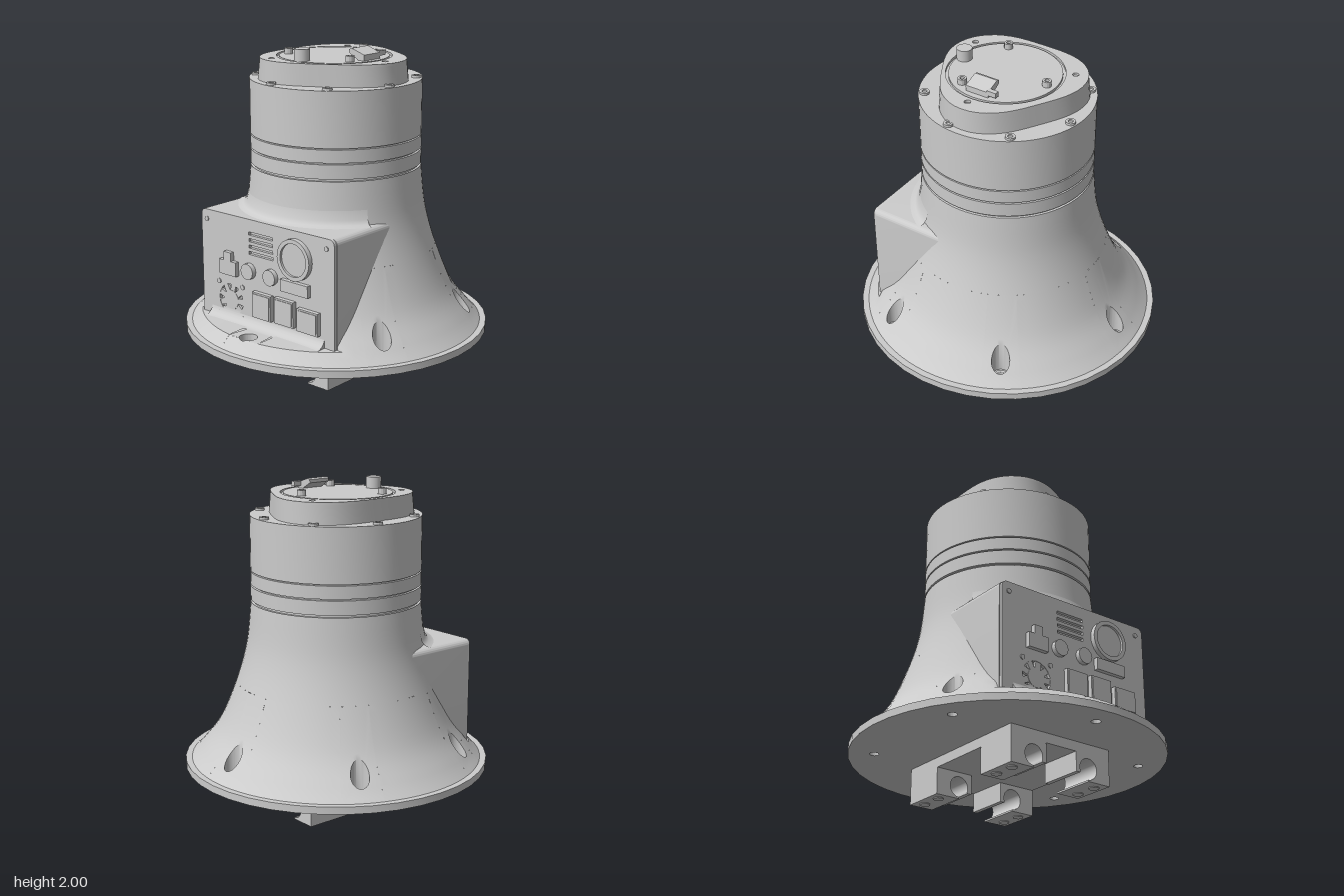
import * as THREE from 'three';
import { mergeGeometries, toCreasedNormals } from 'three/addons/utils/BufferGeometryUtils.js';
import { ParametricGeometry } from 'three/addons/geometries/ParametricGeometry.js';

const mat = new THREE.MeshStandardMaterial({ color: 0xcccccc });
const thin = new THREE.MeshStandardMaterial({ color: 0xcccccc, side: THREE.DoubleSide });
const HOLE_R = 0.795, POCKET = 0.055, INNER = 0.62, OUTER = 0.91, FLOOR = 0.27;
const LEDGE = 0.345, GAP = 0.14, SIXTH = Math.PI / 3;

// Flare profile, with lookups both ways
const profile = new THREE.SplineCurve([[OUTER, 0.275], [0.845, 0.345], [0.73, 0.5], [0.625, 0.75], [0.555, 1.0], [0.525, 1.27]]
  .map(p => new THREE.Vector2(...p))).getPoints(100);
function lookup(value, from, to) {
  let i = 1;
  while (i < 100 && (profile[i][from] - value) * (profile[100][from] - profile[0][from]) < 0) i++;
  const a = profile[i - 1], b = profile[i];
  return THREE.MathUtils.lerp(a[to], b[to], (value - a[from]) / (b[from] - a[from]));
}
const heightAt = r => lookup(r, 'x', 'y');
const radiusAt = y => lookup(y, 'y', 'x');

const circle = (x, y, r) => new THREE.Path().absarc(x, y, r, 0, Math.PI * 2, true);
const disc = r => new THREE.Shape().absarc(0, 0, r, 0, Math.PI * 2, false);
const extrude = (shape, depth, curveSegments = 10) =>
  toCreasedNormals(new THREE.ExtrudeGeometry(shape, { depth, bevelEnabled: false, curveSegments }), 0.5);
const plan = (shape, depth, seg) => extrude(shape, depth, seg).rotateX(-Math.PI / 2);
const lathe = (pts, seg, start, len) => new THREE.LatheGeometry(pts.map(p => new THREE.Vector2(...p)), seg, start, len);
const box = (w, h, d) => new THREE.BoxGeometry(w, h, d);

function rect(x0, y0, x1, y1, type = THREE.Path) {
  const s = new type();
  s.moveTo(x0, y0); s.lineTo(x1, y0); s.lineTo(x1, y1); s.lineTo(x0, y1); s.closePath();
  return s;
}

function add(parent, name, geometry, x = 0, y = 0, z = 0, material = mat) {
  const m = new THREE.Mesh(geometry, material);
  m.name = name;
  m.position.set(x, y, z);
  parent.add(m);
  return m;
}

// Flare skin around one bolt pocket, running on down the pocket wall
function pocketPatch(k) {
  return new ParametricGeometry((u, v, out) => {
    const t = -u * Math.PI * 2, c = Math.cos(t), s = Math.sin(t), m = Math.max(Math.abs(c), Math.abs(s));
    const f = Math.min(1, v * 9 / 8);
    const a = THREE.MathUtils.lerp(GAP * c / m, POCKET * c / HOLE_R, f);
    const r = HOLE_R + THREE.MathUtils.lerp((s > 0 ? OUTER - HOLE_R : HOLE_R - INNER) * s / m, POCKET * s, f);
    let y = k === 0 ? Math.min(heightAt(r), LEDGE) : heightAt(r);
    if (v > 0.95) y = FLOOR;
    out.set(r * Math.sin(a + k * SIXTH), y, r * Math.cos(a + k * SIXTH));
  }, 48, 9);
}

function flareGeometry() {
  const top = heightAt(INNER), ys = [0.275, 0.31, LEDGE, LEDGE + 0.005], parts = [];
  for (let i = 1; i <= 10; i++) ys.push(THREE.MathUtils.lerp(LEDGE + 0.005, top, i / 10));
  for (let k = 0; k < 6; k++) {
    const g = lathe(ys.map(y => [radiusAt(y), y]), 10, k * SIXTH + GAP, SIXTH - 2 * GAP);
    // Cut the front flat behind the control panel
    const p = g.attributes.position;
    for (let i = 0; i < p.count; i++) if (p.getY(i) > LEDGE + 0.002) p.setZ(i, Math.min(p.getZ(i), 0.62));
    parts.push(g, pocketPatch(k));
  }
  const upper = [];
  for (let i = 0; i <= 12; i++) {
    const y = THREE.MathUtils.lerp(top, 1.27, i / 12);
    upper.push([radiusAt(y), y]);
  }
  parts.push(lathe(upper, 72));
  return toCreasedNormals(mergeGeometries(parts), 0.6);
}

function addScrew(parent, x, y, z, r, h, sides = 12) {
  const s = disc(r);
  s.holes.push(circle(0, 0, r * 0.5));
  add(parent, 'screwHead', plan(s, h, sides / 2), x, y, z);
  add(parent, 'screwSocket', new THREE.CylinderGeometry(r * 0.6, r * 0.6, h * 0.3, 6), x, y + h * 0.15, z);
}

function controlBox(group) {
  const g = new THREE.Group();
  g.name = 'controlBox';
  group.add(g);
  // Housing with rounded top corners
  const outline = w => {
    const s = new THREE.Shape(), t = 1.01, r = 0.035;
    s.moveTo(-w, LEDGE); s.lineTo(w, LEDGE); s.lineTo(w, t - r);
    s.absarc(w - r, t - r, r, 0, Math.PI / 2, false);
    s.absarc(-w + r, t - r, r, Math.PI / 2, Math.PI, false);
    s.closePath();
    return s;
  };
  add(g, 'housing', extrude(outline(0.54), 0.52), 0, 0, 0.1);
  // Panel with vent slots and fan opening
  const panel = outline(0.535);
  for (const y of [0.923, 0.882, 0.842, 0.802]) panel.holes.push(rect(-0.135, y - 0.01, 0.06, y + 0.01));
  const fx = -0.293, fy = 0.47;
  panel.holes.push(circle(fx, fy, 0.1));
  add(g, 'panel', extrude(panel, 0.02), 0, 0, 0.62);
  // Fan
  const knob = (r, h, sides = 24) => new THREE.CylinderGeometry(r, r, h, sides).rotateX(Math.PI / 2);
  add(g, 'fanHub', knob(0.06, 0.02), fx, fy, 0.63);
  for (let i = 0; i < 9; i++) {
    const a = i * Math.PI * 2 / 9;
    add(g, 'fanBlade', box(0.042, 0.038, 0.016), fx + 0.078 * Math.cos(a), fy + 0.078 * Math.sin(a), 0.63).rotation.z = a;
  }
  const screws = [[-0.488, 0.95], [0.478, 0.95]];
  for (const dx of [-0.1, 0.1]) for (const dy of [-0.1, 0.1]) screws.push([fx + dx, fy + dy]);
  for (const [x, y] of screws) add(g, 'panelScrew', knob(0.016, 0.01, 8), x, y, 0.641);
  // Sockets, displays and switch: x0, y0, x1, y1
  for (const [x0, y0, x1, y1, name] of [
    [-0.365, 0.635, -0.225, 0.725, 'switchBase'], [-0.325, 0.725, -0.265, 0.78, 'switchTab'],
    [0.14, 0.632, 0.355, 0.705, 'display'], [-0.09, 0.415, 0.06, 0.575, 'socket'],
    [0.09, 0.42, 0.24, 0.58, 'socket'], [0.27, 0.415, 0.43, 0.555, 'socket']]) {
    add(g, name, box(x1 - x0, y1 - y0, 0.04), (x0 + x1) / 2, (y0 + y1) / 2, 0.648);
    if (name === 'socket') add(g, 'socketCover', box(x1 - x0 - 0.02, y1 - y0 - 0.02, 0.04), (x0 + x1) / 2, (y0 + y1) / 2, 0.652);
  }
  for (const x of [-0.13, 0.05]) add(g, 'button', knob(0.05, 0.04, 12), x, 0.69, 0.65);
  const bezel = disc(0.125);
  bezel.holes.push(circle(0, 0, 0.1));
  add(g, 'dialBezel', extrude(bezel, 0.035, 16), 0.245, 0.84, 0.635);
  add(g, 'dialFace', knob(0.1, 0.03, 32), 0.245, 0.84, 0.64);
  // Fillets at the foot of the panel and round the neck
  const fillet = new THREE.Shape();
  fillet.moveTo(0, 0); fillet.lineTo(-0.07, 0);
  fillet.absarc(-0.07, 0.07, 0.07, -Math.PI / 2, 0, false);
  fillet.closePath();
  add(g, 'footFillet', extrude(fillet, 0.92).rotateY(Math.PI / 2), -0.46, LEDGE, 0.638);
  add(g, 'neckFillet', lathe([[0.61, 1.009], [0.575, 1.02], [0.555, 1.045], [0.542, 1.1]], 24, -1.05, 2.1), 0, 0, 0, thin);
}

function topCap(group) {
  const g = new THREE.Group();
  g.name = 'topCap';
  group.add(g);
  // Rounded triangular cap
  const tri = () => {
    const pts = [];
    for (let i = 0; i < 60; i++) {
      const a = i * Math.PI / 30, r = 0.428 + 0.042 * Math.cos(3 * a);
      pts.push(new THREE.Vector2(r * Math.cos(a), r * Math.sin(a)));
    }
    return new THREE.Shape(pts);
  };
  const body = plan(tri(), 0.115), p = body.attributes.position;
  for (let i = 0; i < p.count; i++) if (p.getY(i) < 0.01) p.setXYZ(i, p.getX(i) * 1.025, p.getY(i), p.getZ(i) * 1.025);
  add(g, 'capBody', body, 0, 1.8, 0);
  const rim = tri();
  rim.holes.push(circle(0, -0.015, 0.35));
  for (const [x, z] of [[0.39, 0.015], [-0.195, -0.34], [-0.195, 0.36]]) rim.holes.push(circle(x, -z, 0.019));
  add(g, 'capRim', plan(rim, 0.015, 24), 0, 1.915, 0);
  add(g, 'lid', new THREE.CylinderGeometry(0.333, 0.333, 0.015, 48), 0, 1.9225, 0.015);
  for (const [x, z] of [[-0.245, 0.155], [0, -0.265], [0.24, 0.155]]) addScrew(g, x, 1.93, z, 0.027, 0.035);
  add(g, 'lidKnob', new THREE.CylinderGeometry(0.047, 0.047, 0.07, 20), 0, 1.965, 0.305);
  // Slanted connector with a tab
  const wedge = new THREE.Shape([[0.18, 1.97], [0.25, 1.93], [0.295, 1.93], [0.295, 1.965], [0.2, 1.997], [0.18, 1.99]]
    .map(q => new THREE.Vector2(...q)));
  add(g, 'connector', extrude(wedge, 0.15), 0, 0, -0.058);
  add(g, 'connectorTab', box(0.03, 0.03, 0.06), 0.28, 1.96, -0.08);
}

function mounts(group) {
  const g = new THREE.Group();
  g.name = 'mount';
  group.add(g);
  add(g, 'mountPlate', box(0.72, 0.06, 0.99), 0, 0.2, 0);
  // Open pipe clamps
  const hook = new THREE.Shape();
  hook.moveTo(0.36, 0.17); hook.lineTo(0.11, 0.17); hook.lineTo(0.11, 0.05); hook.lineTo(0.14, 0.05);
  hook.absarc(0.2, 0.08, 0.063, Math.PI * 1.1, -Math.PI / 2, true);
  hook.lineTo(0.2, 0.006); hook.lineTo(0.36, 0.006);
  hook.closePath();
  for (const side of [0, 1]) for (const z of [-0.355, 0.355]) {
    const clamp = new THREE.Group();
    clamp.name = 'pipeClamp';
    clamp.position.z = z;
    clamp.rotation.y = side * Math.PI;
    g.add(clamp);
    add(clamp, 'clampHook', extrude(hook, 0.28, 20), 0, 0, -0.14);
    for (const dz of [-0.07, 0.07]) add(clamp, 'clampBolt', new THREE.CylinderGeometry(0.032, 0.032, 0.02, 16), 0.3, 0.01, dz);
  }
}

export function createModel() {
  const group = new THREE.Group();
  group.name = 'bellHousing';
  // Base flange with bolt holes
  const flange = disc(0.95);
  for (let k = 0; k < 6; k++) flange.holes.push(circle(HOLE_R * Math.sin(k * SIXTH), -HOLE_R * Math.cos(k * SIXTH), 0.028));
  add(group, 'baseFlange', plan(flange, 0.045, 20), 0, 0.23, 0);
  add(group, 'flare', flareGeometry(), 0, 0, 0, thin);
  // Bolt seats in the pockets
  for (let k = 0; k < 6; k++) {
    add(group, 'boltSeat', new THREE.TorusGeometry(0.036, 0.008, 6, 20).rotateX(Math.PI / 2),
      HOLE_R * Math.sin(k * SIXTH), 0.276, HOLE_R * Math.cos(k * SIXTH));
  }
  // Collar with grooves
  const R = 0.525, r = 0.51;
  add(group, 'collar', toCreasedNormals(lathe([[R, 1.268], [r, 1.27], [r, 1.282], [R, 1.284], [R, 1.37], [r, 1.371], [r, 1.379], [R, 1.38],
    [R, 1.458], [r, 1.459], [r, 1.465], [R, 1.466], [R, 1.8], [0, 1.8]], 64), 0.5), 0, 0, 0, thin);
  for (let i = 0; i < 8; i++) {
    const a = i * Math.PI / 4 + 0.18;
    addScrew(group, 0.487 * Math.cos(a), 1.8, 0.487 * Math.sin(a), 0.03, 0.014);
  }
  controlBox(group);
  topCap(group);
  mounts(group);
  return group;
}
